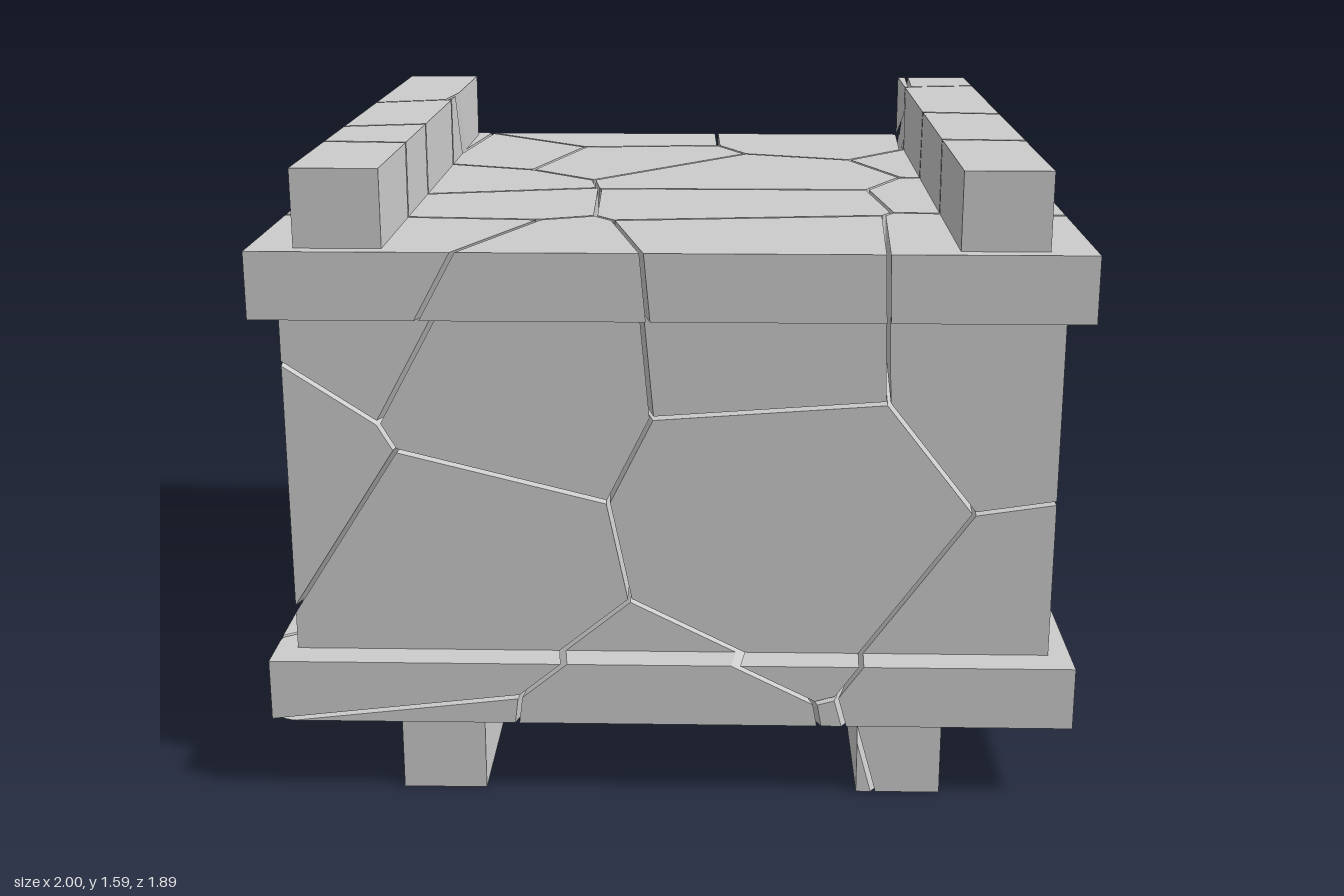
import * as THREE from 'three';

const GAP = 0.005; // half the crack width

// Cell centres of the fracture; every part is split by the same cells
const SEEDS = [
  // lid
  [-0.22, 1.25, -0.5], [0.2, 1.25, -0.12], [0.2, 1.25, 0.3], [-0.25, 1.25, -0.82],
  [0.45, 1.25, -0.84], [-0.47, 1.25, -0.57], [-0.69, 1.25, 0.02], [-0.62, 1.25, 0.33],
  [-0.9, 1.28, -0.62],
  // front
  [-0.65, 1.26, 0.71], [-0.43, 1.14, 0.8], [0.24, 1.2, 0.65], [0.82, 1.22, 0.68],
  [0.27, 0.79, 0.65], [-0.56, 0.62, 0.65], [-0.92, 0.85, 0.6], [0.96, 0.29, 0.68], [-0.1, 0.05, 0.6],
  // right side
  [0.85, 1.2, 0.22], [0.85, 0.4, 0.42], [0.85, 0.68, -0.2], [0.88, 0.93, -0.24],
  [0.93, 1.28, -0.42], [0.87, 1.2, -0.82], [0.85, 0.6, -0.62], [0.9, 0.78, -0.84], [0.85, 0.3, -0.78],
  // back
  [-0.1, 0.95, -0.7], [0.6, 0.85, -0.75], [0.2, 0.55, -0.7], [-0.62, 1.0, -0.75],
  [-0.3, 0.45, -0.75], [-0.8, 0.55, -0.75],
  // left side
  [-0.8, 0.85, 0.1], [-0.8, 0.5, -0.3], [-0.8, 0.35, 0.3],
  // base and core
  [0, 0.8, 0], [0.1, 0.2, 0.1], [-0.45, 0.15, -0.15], [0.4, 0.15, -0.35], [0.45, 0.15, 0.35],
  [-0.5, 0.1, 0.5], [-0.1, 0.15, -0.5], [0.6, 0.1, -0.75], [-0.6, 0.1, -0.8],
].map((p) => new THREE.Vector3(...p));

// The six faces of a box as outward polygons
function boxFaces(min, max) {
  const v = (i) => new THREE.Vector3(
    i & 1 ? max[0] : min[0], i & 2 ? max[1] : min[1], i & 4 ? max[2] : min[2]);
  return [[1, 3, 7, 5], [0, 4, 6, 2], [2, 6, 7, 3], [0, 1, 5, 4], [4, 5, 7, 6], [0, 2, 3, 1]]
    .map((face) => face.map(v));
}

// Keep the side of a convex solid where normal . p < offset, and cap the cut
function clip(faces, normal, offset) {
  const kept = [];
  const cut = [];
  for (const face of faces) {
    const out = [];
    face.forEach((a, i) => {
      const b = face[(i + 1) % face.length];
      const da = normal.dot(a) - offset;
      const db = normal.dot(b) - offset;
      if (da <= 0) out.push(a);
      if ((da <= 0) !== (db <= 0)) {
        const p = a.clone().lerp(b, da / (da - db));
        out.push(p);
        if (!cut.some((q) => q.distanceTo(p) < 1e-6)) cut.push(p);
      }
    });
    if (out.length > 2) kept.push(out);
  }
  if (cut.length > 2) {
    const mid = cut.reduce((s, p) => s.add(p), new THREE.Vector3()).divideScalar(cut.length);
    const u = cut[0].clone().sub(mid).normalize();
    const w = normal.clone().cross(u);
    const angle = (p) => {
      const d = p.clone().sub(mid);
      return Math.atan2(d.dot(w), d.dot(u));
    };
    kept.push(cut.sort((a, b) => angle(a) - angle(b)));
  }
  return kept;
}

// Split a box into its cracked pieces, gathered in one flat-shaded geometry
function crackedBox(min, max) {
  const positions = [];
  for (const seed of SEEDS) {
    let faces = boxFaces(min, max);
    for (const other of SEEDS) {
      if (other === seed || !faces.length) continue;
      const normal = other.clone().sub(seed).normalize();
      const middle = seed.clone().add(other).multiplyScalar(0.5);
      faces = clip(faces, normal, normal.dot(middle) - GAP);
    }
    for (const f of faces) {
      for (let i = 1; i < f.length - 1; i++) {
        for (const p of [f[0], f[i], f[i + 1]]) positions.push(p.x, p.y, p.z);
      }
    }
  }
  const geometry = new THREE.BufferGeometry();
  geometry.setAttribute('position', new THREE.Float32BufferAttribute(positions, 3));
  geometry.computeVertexNormals();
  return geometry;
}

export function createModel() {
  const crate = new THREE.Group();
  crate.name = 'crackedCrate';
  const material = new THREE.MeshStandardMaterial({ color: 0xcccccc, flatShading: true });

  const add = (name, min, max) => {
    const mesh = new THREE.Mesh(crackedBox(min, max), material);
    mesh.name = name;
    crate.add(mesh);
  };

  add('body', [-0.945, 0.36, -0.86], [0.945, 1.235, 0.86]);
  add('baseSlab', [-1, 0.2, -0.945], [1, 0.36, 0.945]);
  add('lidSlab', [-1, 1.235, -0.945], [1, 1.4, 0.945]);

  // Runners under the base and, set wider apart, on the lid
  for (const [side, s] of [['left', 1], ['right', -1]]) {
    const runner = (name, inner, outer, y0, y1) => add(side + name,
      [Math.min(s * inner, s * outer), y0, -0.905],
      [Math.max(s * inner, s * outer), y1, 0.905]);
    runner('BottomRunner', 0.47, 0.68, 0, 0.2);
    runner('TopRunner', 0.68, 0.89, 1.4, 1.59);
  }
  return crate;
}
